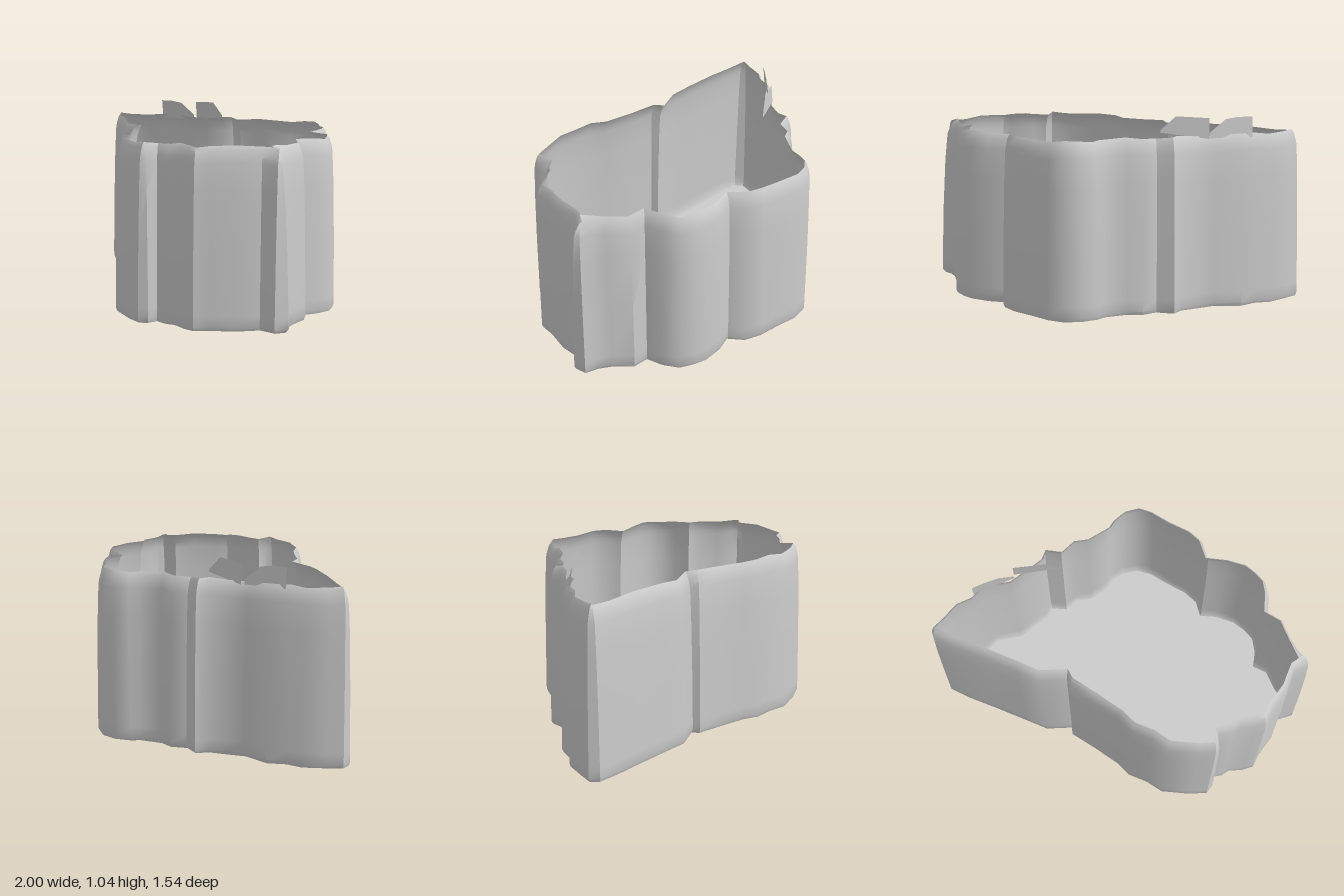
import * as THREE from 'three';
import { toCreasedNormals } from 'three/addons/utils/BufferGeometryUtils.js';

// Footprint (x, z) of the lobed wall, from the left tip round the back
const OUTLINE = [
  [-1, -0.33], [-1, -0.39], [-0.93, -0.44], [-0.82, -0.51], [-0.73, -0.52], [-0.64, -0.57],
  [-0.49, -0.555], [-0.4, -0.59], [-0.3, -0.625], [-0.25, -0.68], [-0.16, -0.645], [-0.08, -0.685],
  [0, -0.67], [0.125, -0.705], [0.16, -0.74], [0.25, -0.775], [0.35, -0.77], [0.43, -0.72],
  [0.51, -0.625], [0.6, -0.53], [0.65, -0.44], [0.645, -0.345], [0.735, -0.31], [0.83, -0.24],
  [0.875, -0.175], [0.91, -0.095], [0.895, 0], [0.853, 0.085], [0.917, 0.145], [0.93, 0.27],
  [0.955, 0.335], [1, 0.4], [0.96, 0.465], [0.865, 0.465], [0.79, 0.56], [0.68, 0.64],
  [0.62, 0.7], [0.55, 0.7], [0.47, 0.68], [0.42, 0.695], [0.355, 0.685], [0.345, 0.74],
  [0.3, 0.77], [0.2, 0.745], [0.045, 0.68], [-0.025, 0.595], [-0.115, 0.52], [-0.16, 0.43],
  [-0.265, 0.295], [-0.365, 0.175], [-0.355, 0.135], [-0.505, 0.095], [-0.61, 0.005],
  [-0.77, -0.13], [-0.905, -0.24],
].map(([x, z]) => new THREE.Vector2(x, z));

// Wall profile: height and how far it leans inward
const PROFILE = [[0, 0.008], [0.02, 0], [0.08, 0.001], [0.4, 0.007], [0.7, 0.016],
  [0.85, 0.024], [0.88, 0.03], [0.92, 0.042], [0.938, 0.055]];

const N = OUTLINE.length;
const inward = OUTLINE.map((p, i) => {
  const d = OUTLINE[(i + 1) % N].clone().sub(OUTLINE[(i + N - 1) % N]).normalize();
  return new THREE.Vector2(-d.y, d.x);
});

function ring(y, inset) {
  return OUTLINE.map((p, i) => {
    // the sharp right-hand corner leans in more than the rest
    const lean = 1 + 1.1 * Math.max(0, 1 - p.distanceTo(new THREE.Vector2(1, 0.4)) / 0.15);
    const q = p.clone().addScaledVector(inward[i], inset * lean);
    const wave = y > 0.8 ? 0.006 * Math.sin(i * 1.7) : 0;
    return [q.x, y + wave, q.y];
  });
}

function loft(rings) {
  const index = [];
  for (let r = 0; r < rings.length - 1; r++) {
    for (let i = 0; i < N; i++) {
      const j = (i + 1) % N;
      const a = r * N + i, b = r * N + j, c = a + N, d = b + N;
      index.push(a, c, b, b, c, d);
    }
  }
  const g = new THREE.BufferGeometry();
  g.setAttribute('position', new THREE.Float32BufferAttribute(rings.flat(2), 3));
  g.setIndex(index);
  return toCreasedNormals(g, 0.7);
}

export function createModel() {
  const group = new THREE.Group();
  const material = new THREE.MeshStandardMaterial({ color: 0xcccccc, side: THREE.DoubleSide });
  const add = (name, geometry) => {
    const mesh = new THREE.Mesh(geometry, material);
    mesh.name = name;
    group.add(mesh);
    return mesh;
  };

  // Open-topped wall with its softly turned-in rim
  add('wall', loft(PROFILE.map(([y, inset]) => ring(y, inset))));

  // Flat floor closing the bottom
  const floorShape = new THREE.Shape(ring(0, 0.008).map(([x, , z]) => new THREE.Vector2(x, z)));
  add('floor', new THREE.ShapeGeometry(floorShape).rotateX(Math.PI / 2));

  // Two torn flaps standing on the back rim; z follows a line along x and tilts with height
  const flap = (name, points, z0, slope, tilt) => {
    const g = new THREE.ShapeGeometry(new THREE.Shape(points.map(([x, y]) => new THREE.Vector2(x, y))));
    const p = g.attributes.position;
    for (let i = 0; i < p.count; i++) {
      p.setZ(i, z0 + slope * (p.getX(i) - points[0][0]) + tilt * (p.getY(i) - 0.93));
    }
    g.computeVertexNormals();
    add(name, g);
  };
  flap('leftFlap', [[-0.7, 0.92], [-0.46, 0.92], [-0.46, 0.95], [-0.55, 1.02], [-0.62, 1.03], [-0.7, 1.03]],
    -0.495, -0.12, 0.1);
  flap('rightFlap', [[-0.455, 0.92], [-0.2, 0.95], [-0.2, 0.965], [-0.28, 1.038], [-0.455, 1.03]],
    -0.545, 0.2, 0.1);

  return group;
}
